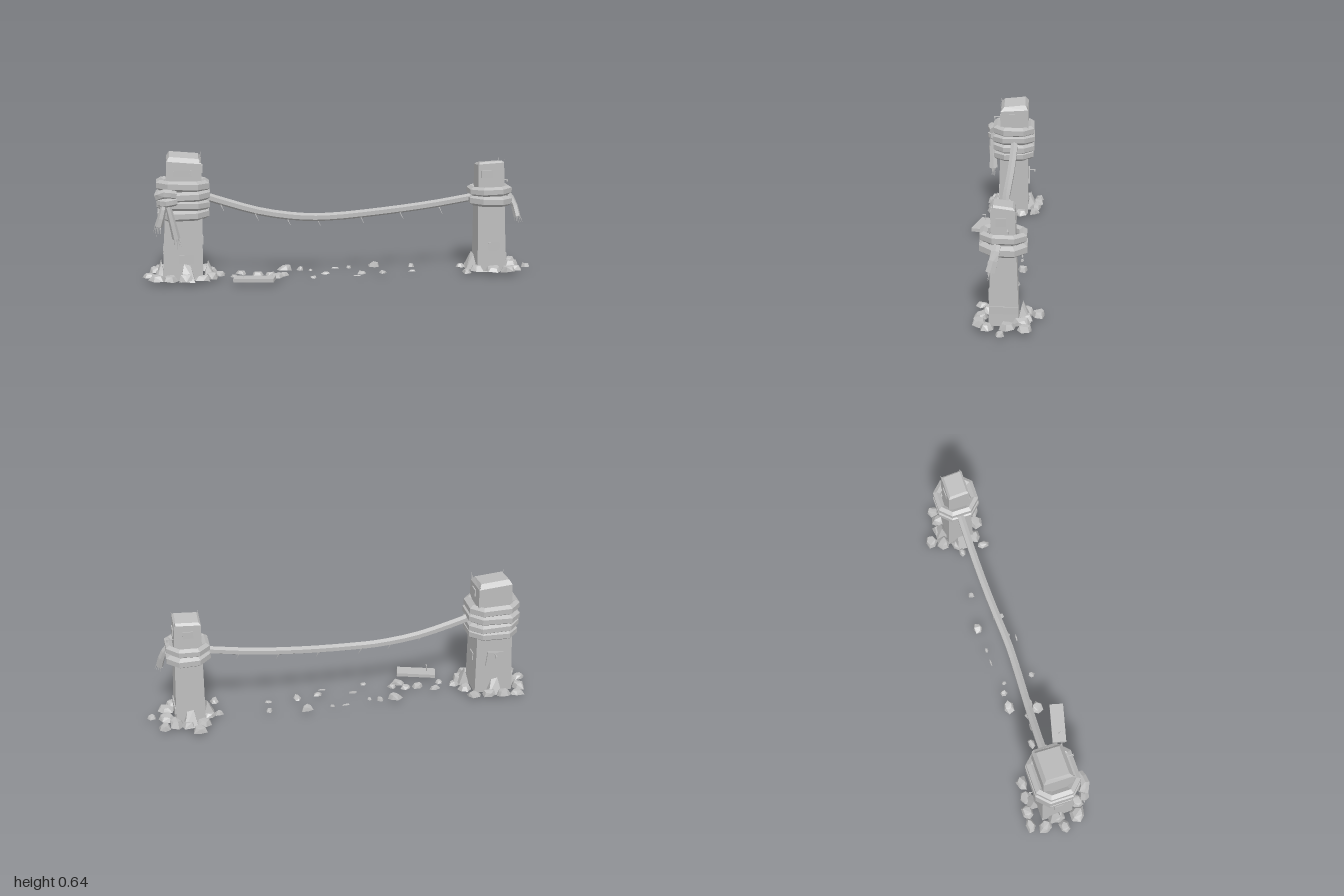
import * as THREE from 'three';
import { ConvexGeometry } from 'three/addons/geometries/ConvexGeometry.js';

const stone = new THREE.MeshStandardMaterial({ color: 0xbcbcbc, flatShading: true });
stone.name = 'grey stone';
const V = (x, y, z) => new THREE.Vector3(x, y, z);

let seed = 7;
const rnd = () => (seed = (seed * 16807) % 2147483647) / 2147483647;

function add(parent, name, geometry) {
  const mesh = new THREE.Mesh(geometry, stone);
  mesh.name = name;
  parent.add(mesh);
  return mesh;
}

// Skins a list of equal cross-sections; either closes into a loop or caps both ends
function loft(sections, loop = false) {
  const n = sections[0].length, m = sections.length, pos = [], idx = [];
  sections.flat().forEach((p) => pos.push(p.x, p.y, p.z));
  for (let i = 0; i < (loop ? m : m - 1); i++)
    for (let j = 0; j < n; j++) {
      const a = i * n + j, b = i * n + (j + 1) % n;
      const c = ((i + 1) % m) * n + j, d = ((i + 1) % m) * n + (j + 1) % n;
      idx.push(a, b, d, a, d, c);
    }
  if (!loop)
    for (let j = 1; j < n - 1; j++) {
      const e = (m - 1) * n;
      idx.push(0, j + 1, j, e, e + j, e + j + 1);
    }
  // Turn the faces outward if the enclosed volume is negative
  const at = (i) => V(pos[3 * i], pos[3 * i + 1], pos[3 * i + 2]);
  let volume = 0;
  for (let i = 0; i < idx.length; i += 3) volume += at(idx[i]).dot(at(idx[i + 1]).cross(at(idx[i + 2])));
  if (volume < 0) idx.reverse();
  const g = new THREE.BufferGeometry();
  g.setAttribute('position', new THREE.Float32BufferAttribute(pos, 3));
  g.setIndex(idx);
  g.computeVertexNormals();
  return g;
}

// Six-sided strand along a curve, with its radius given from start to end
function strand(points, r0, r1 = r0, steps = 4, flat = 1) {
  const curve = new THREE.CatmullRomCurve3(points.map((p) => V(...p)));
  const sections = [];
  for (let i = 0; i <= steps; i++) {
    const c = curve.getPoint(i / steps), t = curve.getTangent(i / steps);
    const a = V(0, 0, 1).cross(t).normalize(), b = t.clone().cross(a);
    const r = r0 + (r1 - r0) * i / steps;
    sections.push([...Array(6).keys()].map((k) => c.clone()
      .addScaledVector(a, r * flat * Math.cos(k * Math.PI / 3))
      .addScaledVector(b, r * Math.sin(k * Math.PI / 3))));
  }
  return loft(sections);
}

// Rope wrapped round a post as a chamfered rectangle
function wrap(cx, y, cz, hx, hz, r, tiltX = 0, tiltZ = 0) {
  const c = 0.045, sections = [];
  const corners = [[1, 0, 1, 1], [1, 1, 1, 1], [1, 1, -1, 1], [1, 0, -1, 1], [1, 0, -1, -1], [1, 1, -1, -1], [1, 1, 1, -1], [1, 0, 1, -1]];
  for (const [, along, sx, sz] of corners)
    sections.push([...Array(6).keys()].map((k) => {
      const o = r * 0.85 * Math.cos((k + 0.5) * Math.PI / 3), up = r * Math.sin((k + 0.5) * Math.PI / 3);
      const x = sx * (along ? hx - c + o * 0.41 : hx + o);
      const z = sz * (along ? hz + o : hz - c + o * 0.41);
      return V(cx + x, y + up + x * tiltX + z * tiltZ, cz + z);
    }));
  return loft(sections, true);
}

// Four-cornered post section with an optionally slanted top
const rect = (x0, x1, z0, z1, y, sx = 0, sz = 0) =>
  [[x0, z0], [x1, z0], [x1, z1], [x0, z1]].map(([x, z]) =>
    V(x, y + sx * (x - (x0 + x1) / 2) + sz * (z - (z0 + z1) / 2), z));

// Irregular flat rock: wide foot, smaller crown
function rock(parent, x, z, rx, rz, h, y = 0.015) {
  const points = [], turn = rnd() * 6, n = 6;
  for (let i = 0; i < n; i++) {
    const a = turn + i * Math.PI * 2 / n, k = 0.75 + rnd() * 0.35, t = 0.45 + rnd() * 0.3;
    points.push(V(x + Math.cos(a) * rx * k, y + rnd() * h * 0.3, z + Math.sin(a) * rz * k));
    points.push(V(x + Math.cos(a) * rx * t, y + h * (0.7 + rnd() * 0.3), z + Math.sin(a) * rz * t));
  }
  add(parent, 'rock', new ConvexGeometry(points));
}

function box(parent, name, x, y, z, w, h, d, ry = 0, rz = 0) {
  const mesh = add(parent, name, new THREE.BoxGeometry(w, h, d));
  mesh.position.set(x, y, z);
  mesh.rotation.set(0, ry, rz);
}

// Thin pointed sliver from one point to another
function spike(parent, name, from, to, r = 0.004) {
  const a = V(...from), b = V(...to), dir = b.clone().sub(a);
  const mesh = add(parent, name, new THREE.ConeGeometry(r, dir.length(), 4));
  mesh.position.copy(a).add(b).multiplyScalar(0.5);
  mesh.quaternion.setFromUnitVectors(V(0, 1, 0), dir.normalize());
}

function bentNail(parent, x, y, z, dx, dz) {
  const nail = new THREE.Group();
  nail.name = 'bentNail';
  parent.add(nail);
  box(nail, 'nailShaft', x + dx / 2, y, z + dz / 2, Math.abs(dx) + 0.004, 0.004, Math.abs(dz) + 0.004);
  box(nail, 'nailHead', x + dx, y - 0.004, z + dz, 0.008, 0.012, 0.008);
}

function frays(parent, x, y, z, lean, length) {
  for (let i = -2; i <= 2; i++)
    spike(parent, 'fray', [x + i * 0.006, y + 0.008, z + (i % 2) * 0.008],
      [x + i * 0.009 + lean, y - length * (1 - Math.abs(i) * 0.15), z + i * 0.006], 0.0035);
}

export function createModel() {
  const model = new THREE.Group();
  model.name = 'ropeBarrier';
  const group = (name) => {
    const g = new THREE.Group();
    g.name = name;
    model.add(g);
    return g;
  };

  // Tall post with chamfered, slanted cap
  const tall = group('tallPost');
  add(tall, 'tallShaft', loft([
    rect(-0.893, -0.695, -0.096, 0.065, 0.012), rect(-0.862, -0.692, -0.095, 0.055, 0.605, -0.09, -0.06),
    rect(-0.848, -0.706, -0.078, 0.036, 0.628, -0.09, -0.1)]));
  for (const [y, grow, r, tx, tz] of [[0.485, 0.012, 0.027, -0.03, 0.02], [0.435, 0.016, 0.026, 0.03, 0],
    [0.39, 0.014, 0.025, -0.03, 0.03], [0.343, 0.01, 0.026, 0.02, -0.02]])
    add(tall, 'tallWrap', wrap(-0.785, y, -0.016, 0.098 + grow, 0.08 + grow, r, tx, tz));

  // Short post
  const short = group('shortPost');
  add(short, 'shortShaft', loft([
    rect(0.693, 0.84, -0.082, 0.055, 0.012), rect(0.69, 0.82, -0.062, 0.044, 0.557, 0.06, 0.14),
    rect(0.7, 0.81, -0.052, 0.034, 0.567, 0.06, 0.14)]));
  for (const [y, r, t] of [[0.423, 0.024, 0.03], [0.373, 0.027, -0.03]])
    add(short, 'shortWrap', wrap(0.758, y, -0.01, 0.088, 0.088, r, t, 0.03));

  // Sagging rope with loose fibres
  const rope = group('rope');
  const path = [[-0.69, 0.425, -0.02], [-0.6, 0.395, -0.018], [-0.4, 0.337, -0.008], [-0.2, 0.308, 0.003],
    [-0.05, 0.306, 0.006], [0.2, 0.323, -0.008], [0.45, 0.35, -0.015], [0.7, 0.39, -0.015]];
  add(rope, 'saggingRope', strand(path, 0.021, 0.02, 18));
  for (const [x, y] of [[-0.6, 0.38], [-0.43, 0.33], [-0.27, 0.3], [-0.12, 0.295], [0.1, 0.3], [0.3, 0.318], [0.5, 0.34]])
    spike(rope, 'ropeFibre', [x, y, 0], [x + 0.02, y - 0.042, 0.008], 0.0035);

  // Knot and hanging tails on the tall post
  const knot = group('knotAndTails');
  add(knot, 'upperKnot', strand([[-0.91, 0.445, 0.09], [-0.875, 0.46, 0.112], [-0.82, 0.45, 0.1]], 0.024, 0.022));
  add(knot, 'lowerKnot', strand([[-0.9, 0.415, 0.085], [-0.865, 0.415, 0.115], [-0.82, 0.42, 0.095]], 0.022));
  add(knot, 'outerTail', strand([[-0.875, 0.42, 0.1], [-0.888, 0.36, 0.108], [-0.906, 0.3, 0.105]], 0.018, 0.025, 3, 0.8));
  add(knot, 'innerTail', strand([[-0.865, 0.42, 0.1], [-0.845, 0.34, 0.102], [-0.822, 0.235, 0.1]], 0.017, 0.025, 3, 0.8));
  frays(knot, -0.908, 0.3, 0.105, -0.01, 0.06);
  frays(knot, -0.82, 0.235, 0.1, 0.004, 0.06);

  // Tail on the short post
  const tail = group('shortTail');
  add(tail, 'hangingTail', strand([[0.85, 0.405, 0.017], [0.875, 0.365, 0.025], [0.893, 0.292, 0.045]], 0.02, 0.024, 3, 0.75));
  frays(tail, 0.893, 0.292, 0.045, 0.01, 0.045);

  // Patches and chips on the post faces
  const patches = group('facePatches');
  box(patches, 'frontPatch', -0.785, 0.546, 0.056, 0.09, 0.032, 0.008);
  box(patches, 'frontPatch', -0.775, 0.12, 0.064, 0.07, 0.045, 0.008);
  box(patches, 'sidePatch', -0.69, 0.56, -0.015, 0.008, 0.035, 0.05);
  box(patches, 'sidePatch', -0.693, 0.2, -0.02, 0.008, 0.04, 0.05);
  box(patches, 'backPatch', -0.79, 0.205, -0.1, 0.085, 0.08, 0.009, 0, 0.1);
  box(patches, 'outerPatch', -0.884, 0.16, -0.01, 0.009, 0.045, 0.045, 0, -0.05);
  box(patches, 'frontPatch', 0.733, 0.51, 0.046, 0.06, 0.038, 0.008);
  box(patches, 'frontPatch', 0.775, 0.14, 0.053, 0.055, 0.04, 0.008);
  box(patches, 'sidePatch', 0.823, 0.5, 0, 0.008, 0.038, 0.046);
  box(patches, 'footPatch', 0.838, 0.088, -0.013, 0.009, 0.034, 0.132);
  box(patches, 'backPatch', 0.755, 0.5, -0.064, 0.05, 0.035, 0.008);
  bentNail(patches, -0.75, 0.55, 0.055, 0, 0.035);
  bentNail(patches, -0.79, 0.235, -0.1, 0, -0.03);
  bentNail(patches, 0.82, 0.467, -0.03, 0.035, 0);

  // Splinters at the post tops
  for (const [x, y, z, dx, dz] of [[-0.855, 0.6, 0.05, -0.01, 0.008], [-0.7, 0.6, 0.05, 0.008, 0.005], [-0.7, 0.6, -0.088, 0.01, -0.006],
    [0.815, 0.55, 0.04, 0.008, -0.006], [0.695, 0.545, 0.04, -0.006, 0.005], [0.813, 0.545, -0.058, 0.004, -0.01]])
    spike(patches, 'splinter', [x, y, z], [x + dx, y + 0.035, z + dz]);

  // Leaning shards against the feet
  const shards = group('footShards');
  for (const [x, z, dx, dz] of [[-0.69, 0.02, 0.055, 0], [-0.77, 0.05, 0, 0.07], [-0.79, -0.09, 0, -0.055],
    [0.7, -0.02, -0.06, 0.01], [0.77, -0.075, 0, -0.06], [-0.885, -0.03, -0.04, 0]]) {
    const wx = dx ? 0 : 0.035, wz = dx ? 0.035 : 0;
    add(shards, 'leaningShard', new ConvexGeometry([V(x - wx, 0.012, z - wz), V(x + wx, 0.012, z + wz),
      V(x + dx - wx, 0.018, z + dz - wz), V(x + dx + wx, 0.014, z + dz + wz),
      V(x + dx * 0.4 - wx * 0.5, 0.1, z + dz * 0.4 - wz * 0.5), V(x + dx * 0.3 + wx * 0.4, 0.09, z + dz * 0.3 + wz * 0.4)]));
  }

  // Rubble heaped round each foot: x, z, half width, half depth, height
  const rubble = group('footRubble');
  for (const [x, z, rx, rz, h] of [[-0.96, 0.0, 0.04, 0.03, 0.02], [-0.92, 0.08, 0.05, 0.045, 0.03], [-0.86, 0.1, 0.045, 0.035, 0.03],
    [-0.78, 0.095, 0.04, 0.035, 0.035], [-0.7, 0.1, 0.045, 0.035, 0.03], [-0.65, 0.05, 0.035, 0.04, 0.03], [-0.61, 0.0, 0.03, 0.025, 0.02],
    [-0.65, -0.06, 0.035, 0.04, 0.03], [-0.68, -0.13, 0.04, 0.03, 0.025], [-0.76, -0.14, 0.045, 0.035, 0.03], [-0.83, -0.155, 0.045, 0.03, 0.03],
    [-0.9, -0.16, 0.045, 0.025, 0.025], [-0.93, -0.09, 0.04, 0.04, 0.03], [-0.9, -0.02, 0.04, 0.045, 0.035],
    [0.73, -0.17, 0.04, 0.035, 0.025], [0.7, -0.11, 0.045, 0.04, 0.03], [0.78, -0.11, 0.045, 0.035, 0.03], [0.84, -0.09, 0.04, 0.045, 0.035],
    [0.9, -0.11, 0.03, 0.035, 0.025], [0.88, -0.03, 0.045, 0.04, 0.03], [0.955, 0.0, 0.028, 0.022, 0.02], [0.88, 0.06, 0.045, 0.035, 0.025],
    [0.84, 0.1, 0.04, 0.035, 0.03], [0.77, 0.09, 0.045, 0.04, 0.03], [0.69, 0.06, 0.04, 0.035, 0.03], [0.63, 0.09, 0.022, 0.04, 0.02],
    [0.62, -0.03, 0.025, 0.02, 0.018], [0.67, -0.04, 0.035, 0.035, 0.025]])
    rock(rubble, x, z, rx, rz, h * 1.15);
  for (const [x, z] of [[-0.79, -0.02], [0.765, -0.02]]) rock(rubble, x, z, 0.07, 0.06, 0.02, 0);

  // Stones scattered below the rope
  const scatter = group('scatteredStones');
  for (const [x, z, rx, rz, h] of [[-0.28, -0.07, 0.04, 0.03, 0.03], [-0.2, -0.07, 0.02, 0.02, 0.02], [0.18, -0.085, 0.035, 0.03, 0.03],
    [0.37, -0.06, 0.02, 0.018, 0.02], [-0.33, 0.07, 0.035, 0.035, 0.025], [-0.5, -0.02, 0.03, 0.02, 0.02], [-0.42, 0.02, 0.035, 0.025, 0.025],
    [-0.36, 0.02, 0.03, 0.025, 0.02], [-0.29, 0.04, 0.025, 0.02, 0.02], [-0.54, 0.04, 0.02, 0.02, 0.015], [-0.15, 0.1, 0.02, 0.018, 0.012],
    [0.1, 0.045, 0.025, 0.02, 0.015], [0.21, 0.04, 0.02, 0.035, 0.012], [-0.08, 0.03, 0.025, 0.012, 0.012], [0.05, -0.08, 0.015, 0.01, 0.012],
    [-0.15, -0.05, 0.012, 0.015, 0.01], [0.07, 0.09, 0.025, 0.005, 0.008], [-0.02, -0.08, 0.022, 0.005, 0.008], [0.36, 0.03, 0.022, 0.01, 0.01]])
    rock(scatter, x, z, rx, rz, h);

  // Fallen plank with a bent nail
  const plank = group('fallenPlank');
  box(plank, 'plank', -0.445, 0.03, 0.142, 0.2, 0.018, 0.07, -0.25, 0.03);
  box(plank, 'plankNail', -0.5, 0.053, 0.13, 0.004, 0.03, 0.004);
  box(plank, 'plankNailHead', -0.5, 0.068, 0.138, 0.004, 0.004, 0.02);
  return model;
}
